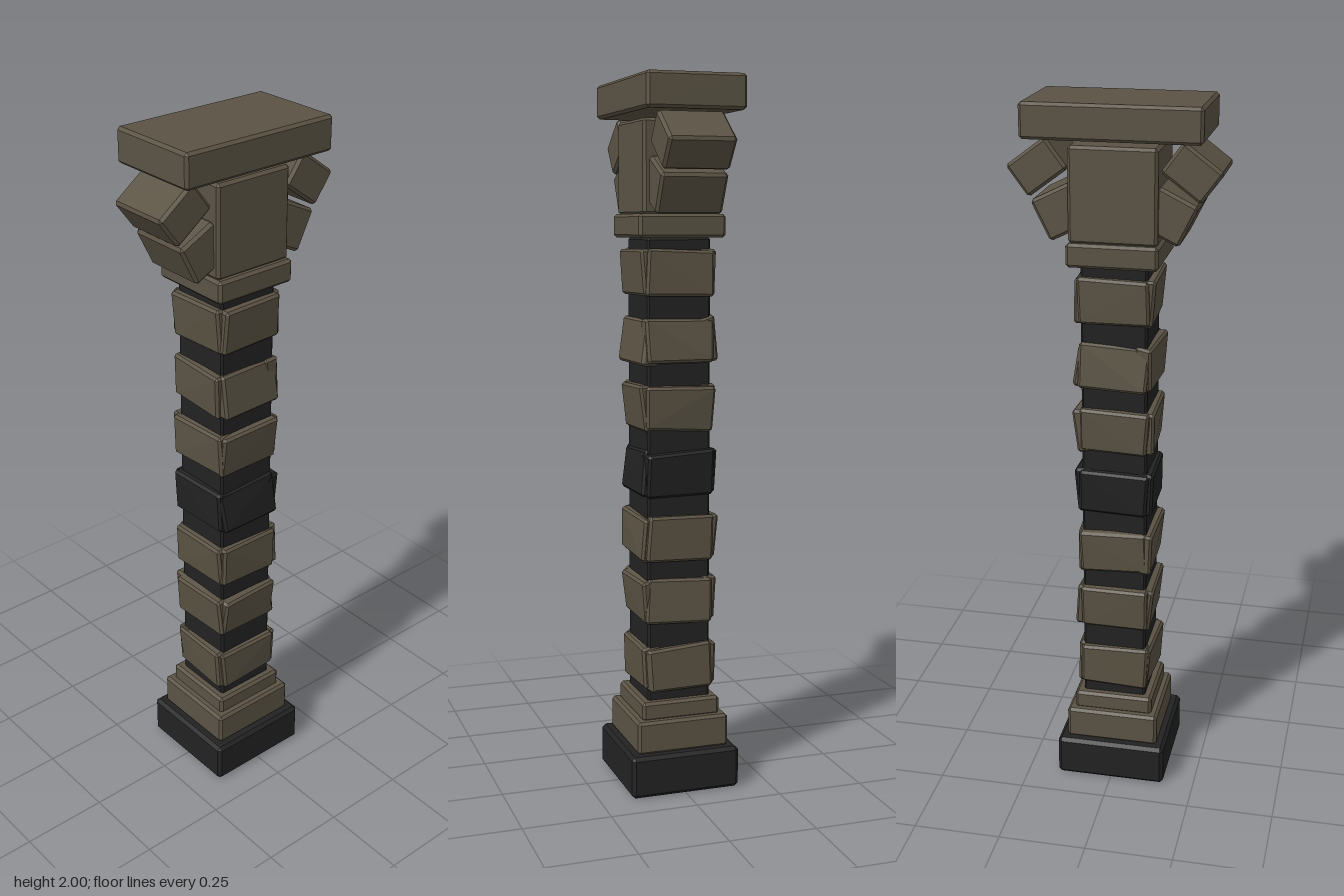
import * as THREE from 'three';
import { ConvexGeometry } from 'three/addons/geometries/ConvexGeometry.js';

const stone = new THREE.MeshStandardMaterial({ color: 0x5b5344 });
stone.name = 'brown stone';
const dark = new THREE.MeshStandardMaterial({ color: 0x222223 });
dark.name = 'dark stone';

// Small seeded random, returns -1..1
let seed = 7;
const rand = () => {
  seed = (seed * 16807) % 2147483647;
  return (seed / 2147483647) * 2 - 1;
};

// Box with chamfered edges; rough shifts each corner a little
function chamferBox(w, h, d, c, rough = 0) {
  const pts = [];
  for (const sx of [-1, 1]) for (const sy of [-1, 1]) for (const sz of [-1, 1]) {
    const x = sx * w / 2 + rand() * rough;
    const y = sy * h / 2 + rand() * rough;
    const z = sz * d / 2 + rand() * rough;
    pts.push(
      new THREE.Vector3(x, y - sy * c, z - sz * c),
      new THREE.Vector3(x - sx * c, y, z - sz * c),
      new THREE.Vector3(x - sx * c, y - sy * c, z));
  }
  return new ConvexGeometry(pts);
}

function addBlock(parent, name, material, size, pos, chamfer = 0.008, rough = 0) {
  const mesh = new THREE.Mesh(chamferBox(...size, chamfer, rough), material);
  mesh.name = name;
  mesh.position.set(...pos);
  parent.add(mesh);
  return mesh;
}

export function createModel() {
  seed = 7;
  const model = new THREE.Group();
  model.name = 'pillar';

  // Stepped base
  addBlock(model, 'basePlinth', dark, [0.32, 0.12, 0.32], [0, 0.06, 0], 0.01);
  addBlock(model, 'baseStep', stone, [0.27, 0.095, 0.27], [0, 0.165, 0]);
  addBlock(model, 'baseCollar', stone, [0.23, 0.055, 0.23], [0, 0.235, 0]);

  // Dark shaft core
  addBlock(model, 'shaftCore', dark, [0.184, 1.34, 0.184], [0, 0.9, 0], 0.006);

  // Bands of four tilted slabs: height, then tilt in degrees for front, +x, back, -x
  const bands = [
    [0.355, 0, -1, 1, 4],
    [0.55, 7, -3, 4, 8],
    [0.73, 0, 1, 2, 4],
    [0.915, -7, 5, 1, 1],
    [1.1, 5, 5, 3, 3],
    [1.285, -5, -7, -7, 3],
    [1.475, 4, 0, 3, 6],
  ];
  bands.forEach(([y, ...tilts], i) => {
    const band = new THREE.Group();
    band.name = 'stoneBand' + (i + 1);
    band.position.y = y;
    tilts.forEach((tilt, k) => {
      const side = new THREE.Group();
      side.rotation.y = k * Math.PI / 2;
      const slab = addBlock(side, 'bandSlab', i === 3 ? dark : stone,
        [0.195, 0.126, 0.05], [0, 0, 0.083], 0.007, 0.004);
      slab.rotation.set(THREE.MathUtils.degToRad(tilt), rand() * 0.05, rand() * 0.035);
      band.add(side);
    });
    model.add(band);
  });

  // Capital
  addBlock(model, 'capitalCollar', stone, [0.25, 0.065, 0.25], [0, 1.602, 0]);
  addBlock(model, 'capitalBlock', stone, [0.24, 0.257, 0.224], [0, 1.76, 0]);
  addBlock(model, 'topSlab', stone, [0.48, 0.095, 0.28], [0, 1.9525, 0]);

  // Angled brackets on both sides
  for (const s of [-1, 1]) {
    const upper = addBlock(model, 'upperBracket', stone, [0.134, 0.102, 0.19], [s * 0.206, 1.826, 0]);
    upper.rotation.z = -s * 0.64;
    const lower = addBlock(model, 'lowerBracket', stone, [0.12, 0.12, 0.19], [s * 0.145, 1.71, 0]);
    lower.rotation.z = -s * 0.46;
  }
  return model;
}
